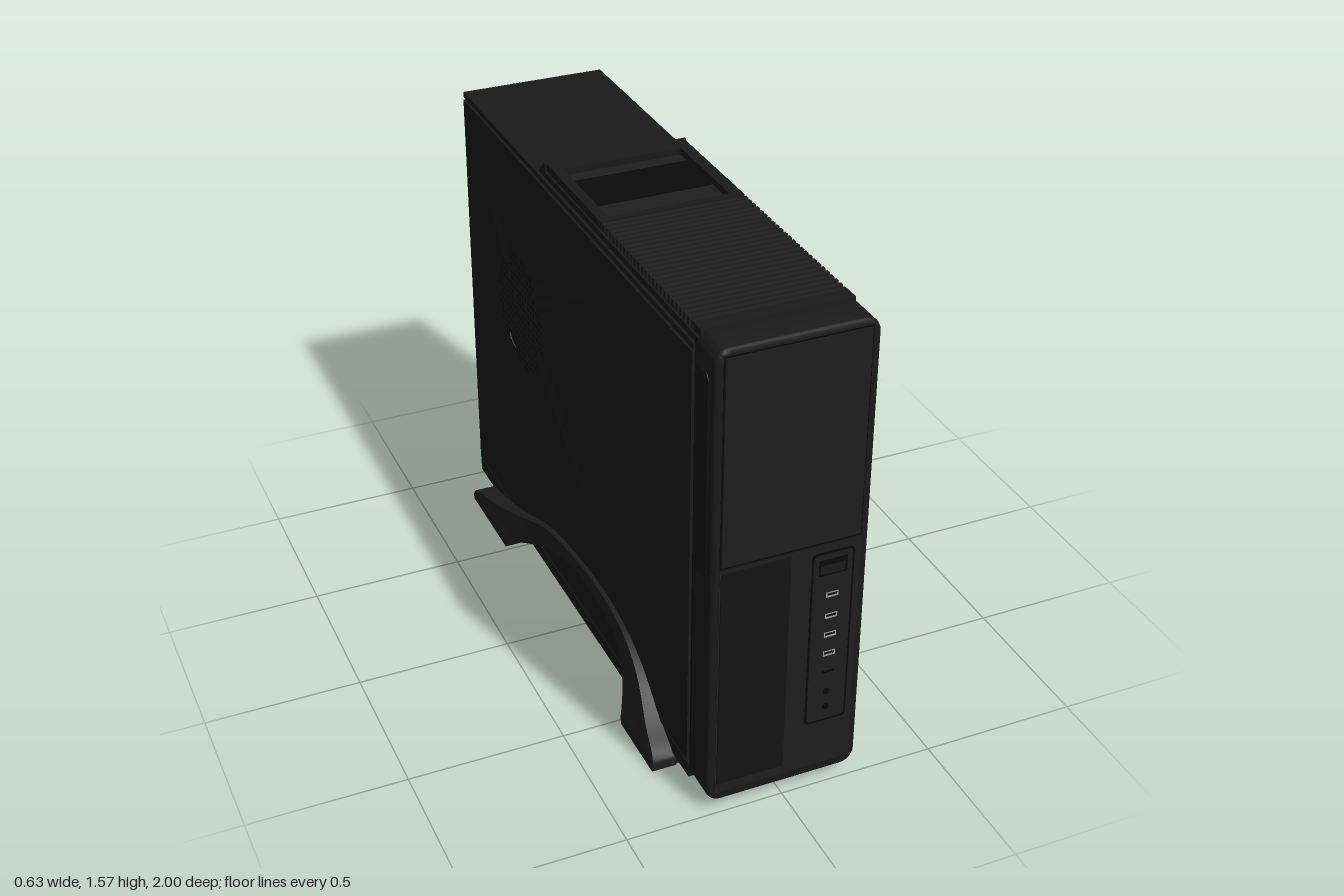
import * as THREE from 'three';
import { mergeGeometries, toCreasedNormals } from 'three/addons/utils/BufferGeometryUtils.js';

const mat = (name, color) => {
  const m = new THREE.MeshStandardMaterial({ color });
  m.name = name;
  return m;
};

export function createModel() {
  const root = new THREE.Group();
  root.name = 'desktopComputer';
  const caseBlack = mat('caseBlack', 0x1a1a1a);
  const trimBlack = mat('trimBlack', 0x1e1e1e);
  const glossBlack = mat('glossBlack', 0x141414);
  const recessBlack = mat('recessBlack', 0x0b0b0b);
  const steel = mat('steel', 0x626262);
  const darkSteel = mat('darkSteel', 0x454545);
  const silver = mat('silver', 0x9c9c9c);

  const add = (name, geo, material, x = 0, y = 0, z = 0) => {
    const m = new THREE.Mesh(geo, material);
    m.name = name;
    m.position.set(x, y, z);
    root.add(m);
    return m;
  };
  // Box given by its limits on each axis
  const box = (name, material, x0, x1, y0, y1, z0, z1) =>
    add(name, new THREE.BoxGeometry(x1 - x0, y1 - y0, z1 - z0), material,
      (x0 + x1) / 2, (y0 + y1) / 2, (z0 + z1) / 2);
  const roundRect = (x0, x1, y0, y1, r, P = THREE.Shape) => {
    const s = new P();
    s.absarc(x1 - r, y1 - r, r, 0, Math.PI / 2);
    s.absarc(x0 + r, y1 - r, r, Math.PI / 2, Math.PI);
    s.absarc(x0 + r, y0 + r, r, Math.PI, Math.PI * 1.5);
    s.absarc(x1 - r, y0 + r, r, Math.PI * 1.5, Math.PI * 2);
    s.closePath();
    return s;
  };
  const slab = (shape, depth, bevel = 0) => new THREE.ExtrudeGeometry(shape, {
    depth, bevelEnabled: bevel > 0, bevelSize: bevel, bevelThickness: bevel, bevelSegments: 3, curveSegments: 8 });
  const disc = (name, material, r, d, x, y, z, sides = 16) =>
    add(name, new THREE.CylinderGeometry(r, r, d, sides).rotateX(Math.PI / 2), material, x, y, z);

  // Case: core, side panels, roof and bottom rails
  box('caseCore', caseBlack, -0.234, 0.234, 0.045, 1.51, -0.955, 0.87);
  box('roofPanel', caseBlack, -0.243, 0.243, 1.502, 1.52, -0.965, 0.86);
  box('bottomTray', caseBlack, -0.243, 0.243, 0.04, 0.088, -0.965, 0.865);

  // Side panels with vent holes and embossed rays
  const cy = 0.94, cz = -0.47;
  const rays = [[0.25, 1.37, 0.03], [-0.1, 1.27, 0.03], [0.2, 0.48, 0.03], [0.05, 0.66, 0.025], [-0.87, 0.22, 0.03],
    [-0.86, 0.36, 0.03], [-0.82, 1.34, 0.035], [-0.72, 1.33, 0.02]];
  for (const s of [-1, 1]) {
    box('sidePanel', caseBlack, s > 0 ? 0.23 : -0.245, s > 0 ? 0.245 : -0.23, 0.096, 1.494, -0.962, 0.855);
    const holes = [];
    for (let i = -8; i <= 8; i++) for (let j = -8; j <= 8; j++) {
      if (Math.hypot(i, j) > 8.3 || (i * 7 + j * 5 + i * j) % 4 === 0) continue;
      holes.push(new THREE.CircleGeometry(0.009, 6).rotateY(s * Math.PI / 2)
        .translate(s * 0.2465, cy + j * 0.024, cz + i * 0.024));
    }
    add('sideVentHoles', mergeGeometries(holes), recessBlack);
    for (const [z, y, r] of rays) {
      const dy = y - cy, dz = z - cz, len = Math.hypot(dy, dz), start = 0.17;
      const geo = new THREE.ConeGeometry(r, len - start, 4).scale(0.2, 1, 1)
        .translate(0, (len + start) / 2, 0).rotateX(Math.atan2(dz, dy));
      add('embossedRay', toCreasedNormals(geo, 0.3), caseBlack, s * 0.245, cy, cz);
    }
  }

  // Front bezel with rounded corners
  add('frontBezel', toCreasedNormals(slab(roundRect(-0.231, 0.231, 0.052, 1.553, 0.035), 0.106, 0.012), 0.6),
    caseBlack, 0, 0, 0.876);
  box('bezelJoint', recessBlack, -0.236, 0.236, 0.06, 1.54, 0.855, 0.872);
  for (const s of [-1, 1]) {
    const grip = slab(roundRect(-0.96, -0.875, 0.82, 1.48, 0.03), 0.004).rotateY(Math.PI / 2);
    add('bezelSideGrip', grip, glossBlack, s * 0.243 - 0.002, 0, 0);
    box('bezelSideGroove', recessBlack, s * 0.243 - 0.002, s * 0.243 + 0.002, 0.07, 0.82, 0.874, 0.882);
  }

  // Front doors and control strip
  box('upperDoorSeam', recessBlack, -0.219, 0.219, 0.874, 1.545, 0.99, 0.9955);
  box('upperDoor', trimBlack, -0.214, 0.214, 0.882, 1.54, 0.99, 1.0);
  box('lowerPanel', trimBlack, -0.219, 0.219, 0.075, 0.866, 0.99, 0.9965);
  box('lowerDoor', glossBlack, -0.215, 0, 0.108, 0.86, 0.99, 0.9995);
  add('controlStripRim', slab(roundRect(0.066, 0.2, 0.235, 0.845, 0.015), 0.0015), recessBlack, 0, 0, 0.9965);
  add('controlStrip', slab(roundRect(0.072, 0.194, 0.242, 0.838, 0.012), 0.0025), trimBlack, 0, 0, 0.9965);
  box('buttonRecess', recessBlack, 0.088, 0.178, 0.765, 0.82, 0.997, 0.9995);
  box('powerButton', caseBlack, 0.094, 0.172, 0.77, 0.8, 0.997, 1.0);
  for (const y of [0.695, 0.62, 0.553, 0.485]) {
    box('frontPort', silver, 0.115, 0.154, y - 0.009, y + 0.009, 0.997, 0.9996);
    box('frontPortSlot', recessBlack, 0.119, 0.15, y - 0.002, y + 0.005, 0.997, 1.0);
  }
  box('indicatorSlot', recessBlack, 0.115, 0.154, 0.414, 0.422, 0.997, 1.0);
  for (const y of [0.345, 0.288]) disc('audioJack', recessBlack, 0.011, 0.002, 0.133, y, 0.999);

  // Raised top cover: base, slats, recessed window and sloped tail
  const w = 0.234;
  box('topCoverBase', caseBlack, -w, w, 1.515, 1.54, -0.25, 0.87);
  box('topCoverFront', caseBlack, -w + 0.006, w - 0.006, 1.54, 1.565, 0.825, 0.872);
  for (let i = 0; i < 25; i++) {
    const z = 0.198 + i * 0.0255;
    box('topSlat', trimBlack, -w + 0.006, w - 0.006, 1.538, 1.565, z, z + 0.0145);
  }
  const frame = roundRect(-w + 0.006, w - 0.006, -0.19, 0.245, 0.004);
  frame.holes.push(roundRect(-0.196, 0.19, -0.165, 0.185, 0.01, THREE.Path));
  add('topWindowFrame', slab(frame, 0.027).rotateX(-Math.PI / 2), caseBlack, 0, 1.538, 0);
  box('topWindowFloor', trimBlack, -0.196, 0.19, 1.535, 1.543, -0.185, 0.165);
  box('topWindow', recessBlack, -0.192, 0.186, 1.54, 1.55, -0.125, 0.05);
  const tail = new THREE.Shape([[0.24, 1.515], [0.24, 1.565], [0.25, 1.565], [0.29, 1.525], [0.29, 1.515]]
    .map(p => new THREE.Vector2(...p)));
  add('topCoverTail', slab(tail, 2 * w).rotateY(Math.PI / 2), caseBlack, -w, 0, 0);

  // Arched stands: cross-sections lofted from the front foot to the rear foot
  const curve = pts => new THREE.CatmullRomCurve3(pts.map(([z, y]) => new THREE.Vector3(0, y, z)));
  const outer = curve([[0.76, 0], [0.755, 0.035], [0.66, 0.1], [0.54, 0.2], [0.4, 0.265], [0.2, 0.29], [0, 0.278],
    [-0.25, 0.235], [-0.5, 0.14], [-0.7, 0.075], [-0.845, 0.035], [-0.85, 0]]);
  const inner = curve([[0.52, 0], [0.51, 0.03], [0.48, 0.1], [0.43, 0.17], [0.34, 0.225], [0.17, 0.247], [0, 0.24],
    [-0.2, 0.185], [-0.34, 0.12], [-0.44, 0.065], [-0.51, 0.02], [-0.52, 0]]);
  const flare = y => 0.26 + 0.055 * Math.pow(Math.min(1, Math.max(0, 1 - (y - 0.02) / 0.27)), 1.4);
  const N = 44, R = 7;
  for (const s of [-1, 1]) {
    const pos = [], idx = [];
    const tri = (a, b, c) => (s > 0 ? idx.push(a, b, c) : idx.push(a, c, b));
    for (let i = 0; i <= N; i++) {
      const a = outer.getPoint(i / N), b = inner.getPoint(i / N);
      for (let j = 0; j < R; j++) {
        const p = a.clone().lerp(b, j < 5 ? j / 4 : 6 - j);
        const y = Math.max(0, p.y);
        pos.push(s * (j < 5 ? flare(y) : 0.236), y, p.z);
      }
    }
    for (let i = 0; i < N; i++) for (let j = 0; j < R; j++) {
      const a = i * R + j, b = i * R + (j + 1) % R;
      tri(a, b, b + R);
      tri(a, b + R, a + R);
    }
    for (let k = 1; k < R - 1; k++) {
      tri(0, k + 1, k);
      tri(N * R, N * R + k, N * R + k + 1);
    }
    const geo = new THREE.BufferGeometry();
    geo.setAttribute('position', new THREE.Float32BufferAttribute(pos, 3));
    geo.setIndex(idx);
    add('archedStand', toCreasedNormals(geo, 0.6), trimBlack);
  }
  box('frontFootBridge', trimBlack, -0.24, 0.24, 0, 0.042, 0.52, 0.755);
  box('rearFootBridge', trimBlack, -0.24, 0.24, 0, 0.042, -0.845, -0.52);

  // Rear panel
  const bz = -0.962;
  box('rearPanel', steel, -0.228, 0.228, 0.092, 1.498, bz, -0.95);
  add('powerSocket', slab(roundRect(0.01, 0.18, 1.39, 1.475, 0.03), 0.014), recessBlack, 0, 0, bz - 0.01);
  box('powerSocketCore', darkSteel, 0.055, 0.135, 1.413, 1.452, bz - 0.012, bz);
  for (const x of [0.07, 0.095, 0.12]) box('powerPin', silver, x - 0.003, x + 0.003, 1.422, 1.443, bz - 0.014, bz);
  box('rearSwitch', recessBlack, -0.19, -0.12, 1.36, 1.41, bz - 0.008, bz);

  // Rear connector plate
  box('connectorPlateEdge', darkSteel, -0.03, 0.21, 0.545, 1.345, bz - 0.003, bz);
  box('connectorPlate', steel, -0.023, 0.203, 0.552, 1.338, bz - 0.006, bz);
  for (const x of [0.165, 0.075]) {
    disc('roundPort', recessBlack, 0.018, 0.008, x, 1.3, bz - 0.005);
    add('videoPort', slab(roundRect(x - 0.024, x + 0.024, 1.1, 1.22, 0.02), 0.012), silver, 0, 0, bz - 0.014);
    box('videoPortCore', darkSteel, x - 0.011, x + 0.011, 1.12, 1.2, bz - 0.016, bz);
  }
  for (const [x, y, h] of [[0.165, 1.0, 0.06], [0.165, 0.9, 0.045], [0.125, 0.9, 0.045], [0.16, 0.7, 0.05], [0.12, 0.7, 0.05], [0.08, 0.7, 0.04]]) {
    box('rearPort', silver, x - 0.018, x + 0.018, y - h / 2, y + h / 2, bz - 0.01, bz);
    box('rearPortSlot', recessBlack, x - 0.014, x + 0.014, y - h / 2 + 0.005, y + h / 2 - 0.005, bz - 0.012, bz);
  }
  for (const x of [0.165, 0.11, 0.055]) disc('rearAudioJack', recessBlack, 0.015, 0.01, x, 0.6, bz - 0.005);

  // Rear vent holes
  const vents = [];
  for (let i = 0; i < 5; i++) for (let j = 0; j < 24; j++)
    vents.push(new THREE.CircleGeometry(0.008, 6).rotateY(Math.PI)
      .translate(-0.085 - i * 0.024, 0.7 + j * 0.026, bz - 0.001));
  add('rearVentHoles', mergeGeometries(vents), recessBlack);

  // Expansion slot covers
  box('slotBay', darkSteel, -0.2, 0.21, 0.15, 0.535, bz - 0.006, bz);
  for (let i = 0; i < 5; i++) {
    const y = 0.158 + i * 0.075;
    box('slotCover', steel, -0.185, 0.2, y, y + 0.055, bz - 0.022, bz);
    disc('slotScrew', silver, 0.009, 0.008, -0.193, y + 0.028, bz - 0.008, 10);
  }
  box('slotRail', steel, -0.218, -0.2, 0.15, 0.6, bz - 0.02, bz);

  // Thumb screws
  for (const y of [1.45, 0.125]) {
    disc('thumbScrewStem', silver, 0.008, 0.03, -0.214, y, bz - 0.012, 10);
    disc('thumbScrewHead', darkSteel, 0.014, 0.016, -0.214, y, bz - 0.03, 14);
  }
  return root;
}
